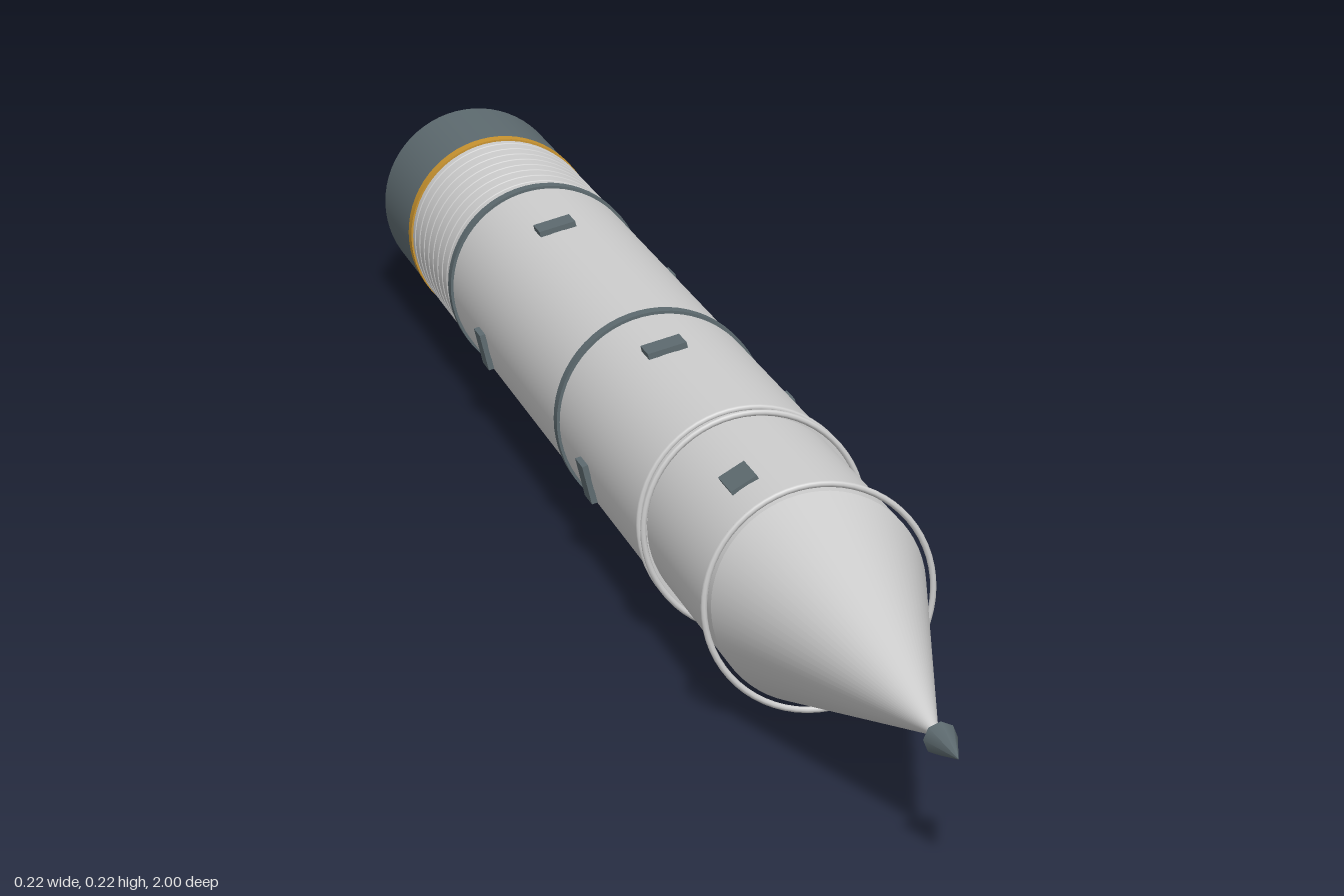
import * as THREE from 'three';

const hull = new THREE.MeshStandardMaterial({ color: 0xcdcdcd });
hull.name = 'light grey hull';
const dark = new THREE.MeshStandardMaterial({ color: 0x5d6a6f });
dark.name = 'dark slate';
const amber = new THREE.MeshStandardMaterial({ color: 0xc8932f });
amber.name = 'amber band';

export function createModel() {
  const rocket = new THREE.Group();
  rocket.name = 'rocket';
  rocket.position.y = 0.113;

  function add(name, geometry, material, parent = rocket) {
    const mesh = new THREE.Mesh(geometry, material);
    mesh.name = name;
    parent.add(mesh);
    return mesh;
  }

  // Round section along z, from z0 (back) to z1 (front)
  function section(name, z0, z1, rBack, rFront, material, sides = 64, x = 0, y = 0) {
    const g = new THREE.CylinderGeometry(rFront, rBack, z1 - z0, sides);
    g.rotateX(Math.PI / 2);
    g.translate(x, y, (z0 + z1) / 2);
    return add(name, g, material);
  }

  function ring(name, z, radius, tube, material) {
    const g = new THREE.TorusGeometry(radius, tube, 8, 64);
    g.translate(0, 0, z);
    return add(name, g, material);
  }

  // Flat panels spread evenly around the hull
  function panels(name, z, count, startDeg, radius, width, length) {
    for (let i = 0; i < count; i++) {
      const g = new THREE.BoxGeometry(0.006, width, length);
      g.translate(radius, 0, z);
      g.rotateZ(THREE.MathUtils.degToRad(startDeg + (i * 360) / count));
      add(name, g, dark);
    }
  }

  // Hull sections
  section('engineSkirt', -0.888, -0.742, 0.106, 0.106, dark);
  section('mainBody', -0.742, 0.35, 0.105, 0.105, hull);
  section('upperStage', 0.35, 0.585, 0.1, 0.1, hull);
  section('noseCone', 0.585, 0.946, 0.1, 0, hull);
  section('noseTip', 0.95, 1.0, 0.015, 0, dark, 8);

  // Joint rings
  for (const z of [0.345, 0.362, 0.585]) ring('hullRing', z, 0.1065, 0.003, hull);
  for (const z of [0.003, -0.513]) section('stageBand', z - 0.007, z + 0.007, 0.108, 0.108, dark);
  section('amberBand', -0.745, -0.729, 0.107, 0.107, amber);

  // Ribs on the rear tank
  for (let i = 0; i < 8; i++) ring('tankRib', -0.54 - i * 0.025, 0.1045, 0.0016, hull);

  // Access panels
  panels('bodyPanel', 0.122, 4, 14, 0.1075, 0.04, 0.03);
  panels('bodyPanel', -0.352, 4, 14, 0.1075, 0.04, 0.03);
  panels('upperPanel', 0.493, 3, 0, 0.1, 0.028, 0.045);

  // Seven engines: one central, six around it
  for (let i = 0; i < 7; i++) {
    const r = i === 0 ? 0 : 0.06;
    const a = (i * Math.PI) / 3;
    const x = r * Math.cos(a), y = r * Math.sin(a);
    section('engineMount', -0.92, -0.886, 0.017, 0.017, dark, 16, x, y);
    section('engineCone', -1.0, -0.948, 0, 0.025, dark, 16, x, y);
  }

  return rocket;
}
